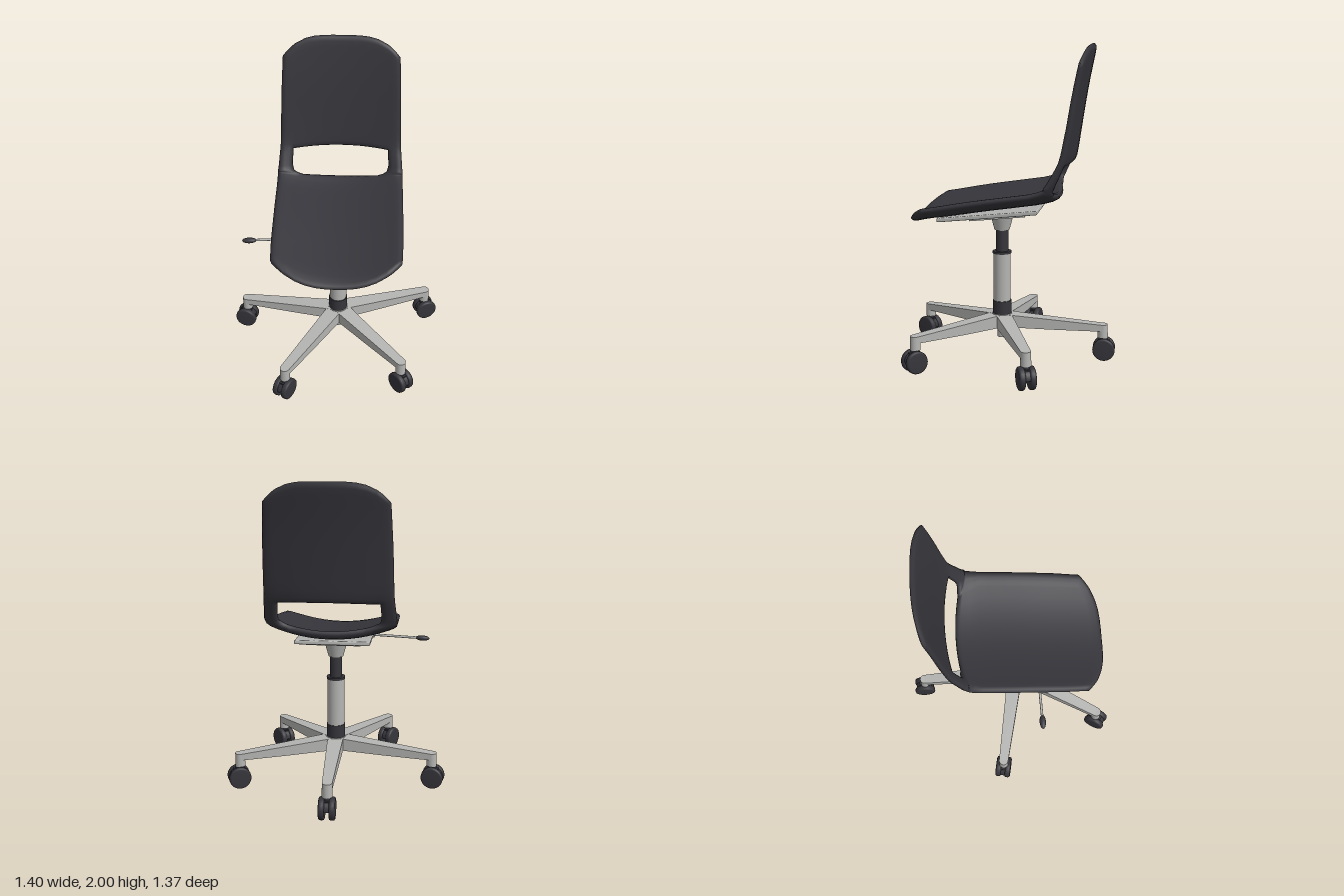
import * as THREE from 'three';
import { mergeVertices } from 'three/addons/utils/BufferGeometryUtils.js';
import { RoundedBoxGeometry } from 'three/addons/geometries/RoundedBoxGeometry.js';

const charcoal = new THREE.MeshStandardMaterial({ color: 0x35353b });
charcoal.name = 'charcoal plastic';
const silver = new THREE.MeshStandardMaterial({ color: 0xb4b4b2 });
silver.name = 'silver metal';

const CX = 0.012, CZ = 0.04; // axis of the column

function add(parent, name, geometry, material, x = 0, y = 0, z = 0) {
  const mesh = new THREE.Mesh(geometry, material);
  mesh.name = name;
  mesh.position.set(x, y, z);
  parent.add(mesh);
  return mesh;
}

// piecewise linear lookup in a list of [position, value]
function lookup(table, s) {
  if (s <= table[0][0]) return table[0][1];
  for (let i = 1; i < table.length; i++) {
    const [a, va] = table[i - 1], [b, vb] = table[i];
    if (s <= b) return va + (vb - va) * (s - a) / (b - a);
  }
  return table[table.length - 1][1];
}

// One-piece seat and backrest: a curved sheet swept along a centre line, with an opening
function shellGeometry() {
  const curve = new THREE.CatmullRomCurve3([
    [0.595, 0.897], [0.5, 0.922], [0.35, 0.945], [0.14, 0.98], [-0.1, 1.015], [-0.25, 1.04],
    [-0.32, 1.065], [-0.36, 1.11], [-0.385, 1.19], [-0.41, 1.3], [-0.44, 1.5], [-0.48, 1.75], [-0.53, 2],
  ].map(([z, y]) => new THREE.Vector3(0, y, z)), false, 'centripetal');
  const L = curve.getLength();
  const width = [[0, 0.388], [0.3, 0.402], [0.6, 0.405], [1, 0.405], [1.2, 0.388], [1.5, 0.38], [1.75, 0.367], [1.9, 0.358]];
  const dish = [[0, 0.5], [0.8, 0.5], [1, 0.6], [1.2, 0.28], [1.4, 0.22], [1.9, 0.22]];
  const thick = [[0, 0.04], [0.3, 0.046], [0.9, 0.046], [1.2, 0.036], [1.9, 0.032]];
  const gap = [[0, 0.78], [0.8, 0.78], [0.94, 0.6], [0.96, 0.6], [0.975, 0.69], [1, 0.745], [1.06, 0.78], [1.9, 0.79]];

  const rows = [0, 0.012, 0.035, 0.08, 0.15, 0.23, 0.32, 0.42, 0.52, 0.62, 0.72, 0.8, 0.86, 0.9, 0.93, 0.948,
    0.96, 0.975, 1, 1.03, 1.06, 1.11, 1.155, 1.17, 1.182, 1.205, 1.25, 1.3, 1.4, 1.5, 1.6, 1.7, 1.78,
    L - 0.07, L - 0.035, L - 0.012, L];
  const half = [0, 0.2, 0.4, 0.6, 0.8, 1, 1.14, 1.35, 1.65, 1.86, 2]; // 1 = side of opening, 2 = outer edge
  const cols = [...half.slice(1).reverse().map(c => -c), ...half];
  const R = rows.length - 1, C = cols.length - 1;
  const h0 = rows.indexOf(0.96), h1 = rows.indexOf(1.17), c0 = cols.indexOf(-1), c1 = cols.indexOf(1);
  const rim = [0, 0.7, 0.95, 1];
  const pos = [], index = [];

  for (const side of [1, -1]) {
    rows.forEach((s, i) => cols.forEach((c, j) => {
      const a = Math.abs(c), g = lookup(gap, s);
      const au = a <= 1 ? a * g : g + (a - 1) * (1 - g);
      // round the front and top edges and bow the opening's upper edge
      const bent = s + 0.14 * au ** 3 * Math.max(0, 1 - s / 0.5)
        - 0.13 * au ** 4 * Math.max(0, 1 - (L - s) / 0.5)
        - 0.03 * au ** 2 * Math.max(0, 1 - Math.abs(s - 1.17) / 0.2);
      const t = THREE.MathUtils.clamp(bent / L, 0, 1);
      const p = curve.getPointAt(t), d = curve.getTangentAt(t);
      const x = Math.sign(c) * au * lookup(width, bent), k = lookup(dish, bent);
      const up = new THREE.Vector3(0, -d.z, d.y);
      const normal = up.clone().setX(-2 * k * x).normalize();
      const toHole = Math.max(h0 - i, i - h1, c0 - j, j - c1, 0);
      const dist = Math.min(i, R - i, j, C - j, toHole, 3);
      p.addScaledVector(up, k * x * x).addScaledVector(normal, side * rim[dist] * lookup(thick, s) / 2);
      pos.push(p.x + x + 0.014, p.y, p.z);
    }));
    const base = side > 0 ? 0 : (R + 1) * (C + 1);
    for (let i = 0; i < R; i++) for (let j = 0; j < C; j++) {
      if (i >= h0 && i < h1 && j >= c0 && j < c1) continue;
      const a = base + i * (C + 1) + j, b = a + 1, c = a + C + 1, e = c + 1;
      if (side > 0) index.push(a, b, c, b, e, c);
      else index.push(a, c, b, b, c, e);
    }
  }
  let geo = new THREE.BufferGeometry();
  geo.setAttribute('position', new THREE.Float32BufferAttribute(pos, 3));
  geo.setIndex(index);
  geo = mergeVertices(geo, 1e-5);
  geo.computeVertexNormals();
  return geo;
}

// Tapered leg running along +x from the hub
function legGeometry(length) {
  const shape = new THREE.Shape([[0, 0.2], [length * 0.5, 0.193], [length, 0.19], [length, 0.232], [0, 0.285]]
    .map(([x, y]) => new THREE.Vector2(x, y)));
  const geo = new THREE.ExtrudeGeometry(shape, { depth: 1, bevelEnabled: false });
  const p = geo.attributes.position;
  for (let i = 0; i < p.count; i++) {
    p.setZ(i, (p.getZ(i) - 0.5) * (0.105 - 0.043 * p.getX(i) / length));
  }
  geo.computeVertexNormals();
  return geo;
}

// Twin-wheel caster rolling along its own x
function makeCaster() {
  const caster = new THREE.Group();
  caster.name = 'caster';
  const profile = [[0, -0.019], [0.06, -0.019], [0.068, -0.015], [0.071, -0.007], [0.071, 0.007], [0.068, 0.015], [0.06, 0.019], [0, 0.019]]
    .map(([r, y]) => new THREE.Vector2(r, y));
  for (const side of [-1, 1]) {
    add(caster, 'wheel', new THREE.LatheGeometry(profile, 28), charcoal, 0, 0.071, side * 0.032).rotation.x = Math.PI / 2;
  }
  const hood = add(caster, 'casterHood', new THREE.CylinderGeometry(0.062, 0.062, 0.03, 20, 1, false, 0, Math.PI), charcoal, 0, 0.071, 0);
  hood.rotation.set(Math.PI / 2, Math.PI / 2, 0, 'ZXY');
  hood.rotation.set(Math.PI / 2, 0, 0);
  hood.geometry.rotateY(Math.PI / 2);
  add(caster, 'casterCore', new THREE.BoxGeometry(0.07, 0.06, 0.03), charcoal, 0, 0.1, 0);
  add(caster, 'casterStem', new THREE.CylinderGeometry(0.024, 0.024, 0.04, 16), charcoal, 0, 0.135, 0);
  return caster;
}

export function createModel() {
  const chair = new THREE.Group();
  chair.name = 'swivelChair';
  add(chair, 'seatShell', shellGeometry(), charcoal);

  // Five-legged base
  const base = new THREE.Group();
  base.name = 'base';
  chair.add(base);
  for (const [x, z] of [[0, -0.61], [0.608, -0.2], [0.43, 0.51], [-0.308, 0.593], [-0.62, -0.078]]) {
    const dx = x - CX, dz = z - CZ, length = Math.hypot(dx, dz);
    const arm = new THREE.Group();
    arm.name = 'baseArm';
    arm.position.set(CX, 0, CZ);
    arm.rotation.y = -Math.atan2(dz, dx);
    base.add(arm);
    add(arm, 'leg', legGeometry(length), silver);
    add(arm, 'legPost', new THREE.CylinderGeometry(0.031, 0.033, 0.087, 20), silver, length, 0.1885, 0);
    const caster = makeCaster();
    caster.position.x = length + 0.008;
    arm.add(caster);
  }

  // Column, bottom to top: name, lower radius, upper radius, y from, y to, material
  for (const [name, r0, r1, y0, y1, material] of [
    ['hubPin', 0.03, 0.03, 0.125, 0.22, silver],
    ['hub', 0.075, 0.065, 0.2, 0.283, silver],
    ['lowerCollar', 0.06, 0.06, 0.275, 0.368, charcoal],
    ['columnTube', 0.055, 0.055, 0.368, 0.68, silver],
    ['columnRing', 0.06, 0.06, 0.677, 0.692, charcoal],
    ['gasLift', 0.04, 0.04, 0.69, 0.84, charcoal],
    ['mountCone', 0.048, 0.078, 0.83, 0.94, silver],
  ]) add(chair, name, new THREE.CylinderGeometry(r1, r0, y1 - y0, 32), material, CX, (y0 + y1) / 2, CZ);

  // Plates under the seat, tilted with it
  add(chair, 'seatPlate', new RoundedBoxGeometry(0.47, 0.026, 0.63, 2, 0.008), silver, CX, 0.951, 0.1).rotation.x = 0.1;
  add(chair, 'mountPlate', new THREE.BoxGeometry(0.34, 0.022, 0.35), silver, CX, 0.937, 0.045).rotation.x = 0.1;

  // Height lever
  add(chair, 'leverBlock', new THREE.BoxGeometry(0.08, 0.03, 0.045), silver, -0.19, 0.943, 0.165);
  const from = new THREE.Vector3(-0.19, 0.944, 0.165), to = new THREE.Vector3(-0.53, 0.926, 0.174);
  add(chair, 'leverRod', new THREE.TubeGeometry(new THREE.LineCurve3(from, to), 1, 0.008, 10), silver);
  const knob = add(chair, 'leverKnob', new THREE.SphereGeometry(1, 20, 14), charcoal, -0.541, 0.925, 0.175);
  knob.scale.set(0.045, 0.017, 0.02);
  knob.rotation.z = 0.05;

  return chair;
}
